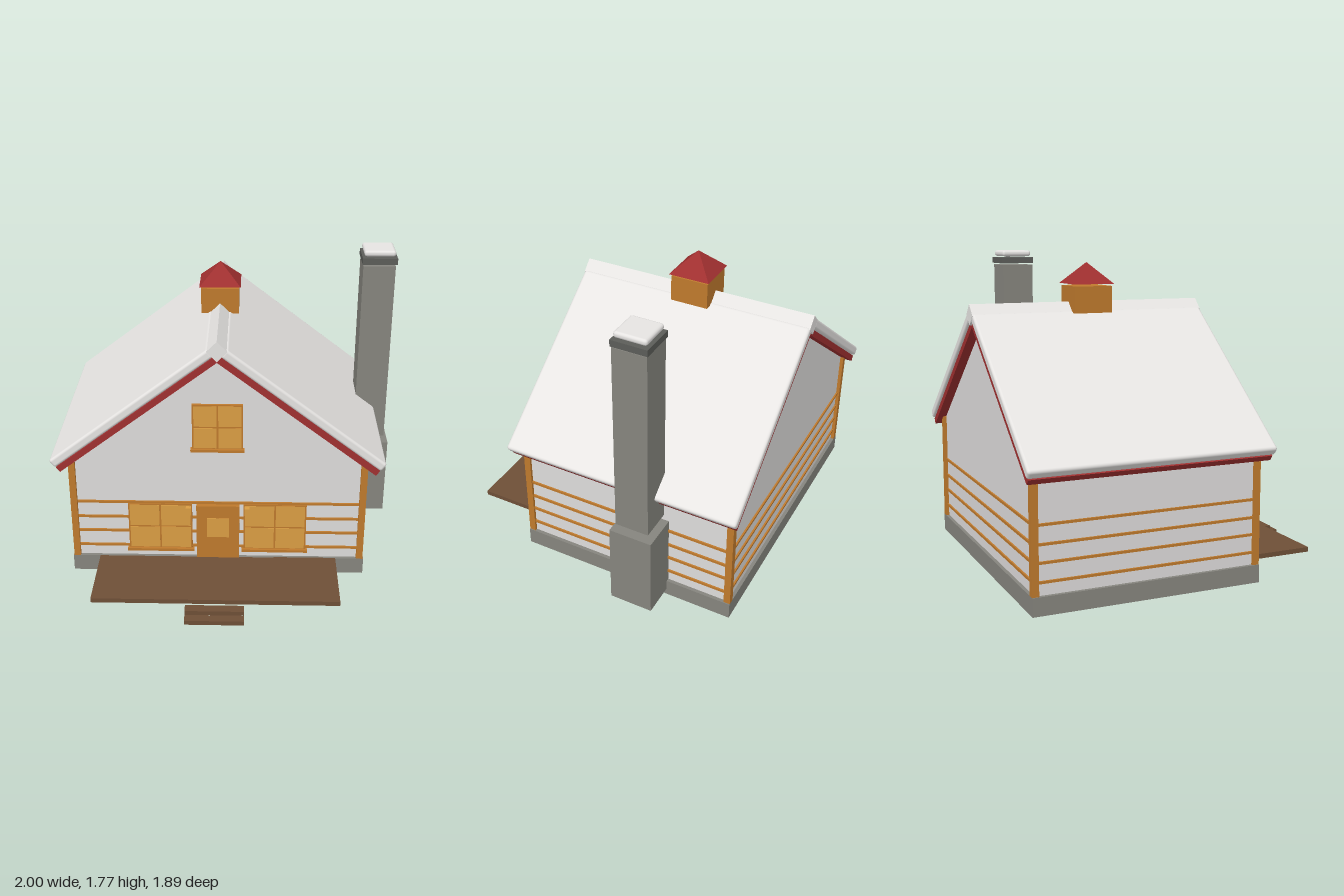
import * as THREE from 'three';
import { RoundedBoxGeometry } from 'three/addons/geometries/RoundedBoxGeometry.js';

const mat = (name, color, flatShading = false) => {
  const m = new THREE.MeshStandardMaterial({ color, flatShading });
  m.name = name;
  return m;
};

export function createModel() {
  const house = new THREE.Group();
  house.name = 'house';
  const snow = mat('snow', 0xe6e4e2);
  const plaster = mat('plaster', 0xdedcdb);
  const stone = mat('stone', 0x86857e);
  const darkStone = mat('darkStone', 0x5c5d59);
  const wood = mat('wood', 0xbf7a2d);
  const glass = mat('glass', 0xda9d44);
  const red = mat('red', 0xa03030, true);
  const deckWood = mat('deckWood', 0x6e4f37);

  const add = (name, geometry, material, x = 0, y = 0, z = 0, parent = house) => {
    const mesh = new THREE.Mesh(geometry, material);
    mesh.name = name;
    mesh.position.set(x, y, z);
    parent.add(mesh);
    return mesh;
  };
  // Box given by its two opposite corners
  const box = (name, material, x0, x1, y0, y1, z0, z1, parent = house) =>
    add(name, new THREE.BoxGeometry(x1 - x0, y1 - y0, z1 - z0), material,
      (x0 + x1) / 2, (y0 + y1) / 2, (z0 + z1) / 2, parent);

  const cx = -0.05, cz = -0.25; // house centre
  const slope = 0.765, angle = Math.atan(slope);

  // Foundation and gabled body
  box('foundation', stone, -0.91, 0.81, 0, 0.1, -0.9, 0.4);
  const gable = new THREE.Shape([
    [-0.84, 0.1], [0.84, 0.1], [0.84, 0.745], [0, 1.388], [-0.84, 0.745],
  ].map(([x, y]) => new THREE.Vector2(x, y)));
  add('walls', new THREE.ExtrudeGeometry(gable, { depth: 1.26, bevelEnabled: false }),
    plaster, cx, 0, -0.88);

  // Corner posts
  for (const sx of [-1, 1]) for (const sz of [-1, 1])
    add('cornerPost', new THREE.BoxGeometry(0.038, 0.64, 0.038), wood,
      cx + sx * 0.836, 0.42, cz + sz * 0.631);

  // Horizontal rails on all four walls
  for (const y of [0.17, 0.27, 0.365, 0.465])
    for (const s of [-1, 1]) {
      add('gableRail', new THREE.BoxGeometry(1.66, 0.014, 0.016), wood, cx, y, cz + s * 0.632);
      add('sideRail', new THREE.BoxGeometry(0.016, 0.014, 1.25), wood, cx + s * 0.842, y, cz);
    }

  // Roof: red boards under rounded snow slabs
  for (const s of [-1, 1]) {
    const slab = (name, geometry, material, d, y) => {
      add(name, geometry, material, cx + s * d, y - slope * d, cz).rotation.z = -s * angle;
    };
    slab('roofBoard', new THREE.BoxGeometry(1.14, 0.035, 1.365), red, 0.453, 1.392);
    slab('roofSnow', new RoundedBoxGeometry(1.138, 0.056, 1.39, 2, 0.016), snow, 0.487, 1.455);
  }
  add('ridgeSnow', new THREE.BoxGeometry(0.083, 0.083, 1.39), snow, cx, 1.438, cz)
    .rotation.z = Math.PI / 4;

  // Roof turret
  box('turret', wood, -0.16, 0.06, 1.435, 1.585, -0.365, -0.145);
  const pyramid = new THREE.ConeGeometry(0.24 / Math.SQRT2, 0.12, 4).rotateY(Math.PI / 4);
  add('turretRoof', pyramid, red, cx, 1.657, -0.255);

  // Chimney
  box('chimneyBase', stone, 0.75, 1.0, 0.04, 0.53, -0.515, -0.265);
  box('chimneyShaft', stone, 0.785, 0.975, 0.565, 1.68, -0.485, -0.29);
  box('chimneyCap', darkStone, 0.78, 0.985, 1.69, 1.727, -0.493, -0.288);
  add('chimneySnow', new RoundedBoxGeometry(0.185, 0.036, 0.185, 2, 0.016), snow, 0.882, 1.752, -0.39);

  // Four-pane windows with sills
  const makeWindow = (name, x0, x1, y0, y1) => {
    const g = new THREE.Group();
    g.name = name;
    house.add(g);
    box('windowFrame', wood, x0, x1, y0, y1, 0.37, 0.395, g);
    box('windowSill', wood, x0 - 0.01, x1 + 0.01, y0 - 0.012, y0 + 0.004, 0.37, 0.412, g);
    const xm = (x0 + x1) / 2, ym = (y0 + y1) / 2, e = 0.009, h = 0.005;
    for (const [a, b] of [[x0 + e, xm - h], [xm + h, x1 - e]])
      for (const [c, d] of [[y0 + e, ym - h], [ym + h, y1 - e]])
        box('windowPane', glass, a, b, c, d, 0.393, 0.398, g);
  };
  makeWindow('leftmostWindow', -0.572, -0.2, 0.157, 0.46);
  makeWindow('rightmostWindow', 0.1, 0.465, 0.157, 0.46);
  makeWindow('atticWindow', -0.193, 0.093, 0.822, 1.1);

  // Door and wall lanterns
  box('door', wood, -0.175, 0.075, 0.1, 0.452, 0.37, 0.405);
  box('doorPane', glass, -0.114, 0.014, 0.245, 0.372, 0.403, 0.41);
  for (const s of [-1, 1])
    add('lantern', new THREE.BoxGeometry(0.03, 0.046, 0.04), glass, cx + s * 0.17, 0.424, 0.404);

  // Deck and steps
  box('deck', deckWood, -0.75, 0.645, 0.073, 0.1, 0.395, 0.825);
  box('upperStep', deckWood, -0.22, 0.11, 0.053, 0.079, 0.845, 0.9);
  box('lowerStep', deckWood, -0.22, 0.11, 0.023, 0.049, 0.895, 0.948);

  return house;
}
